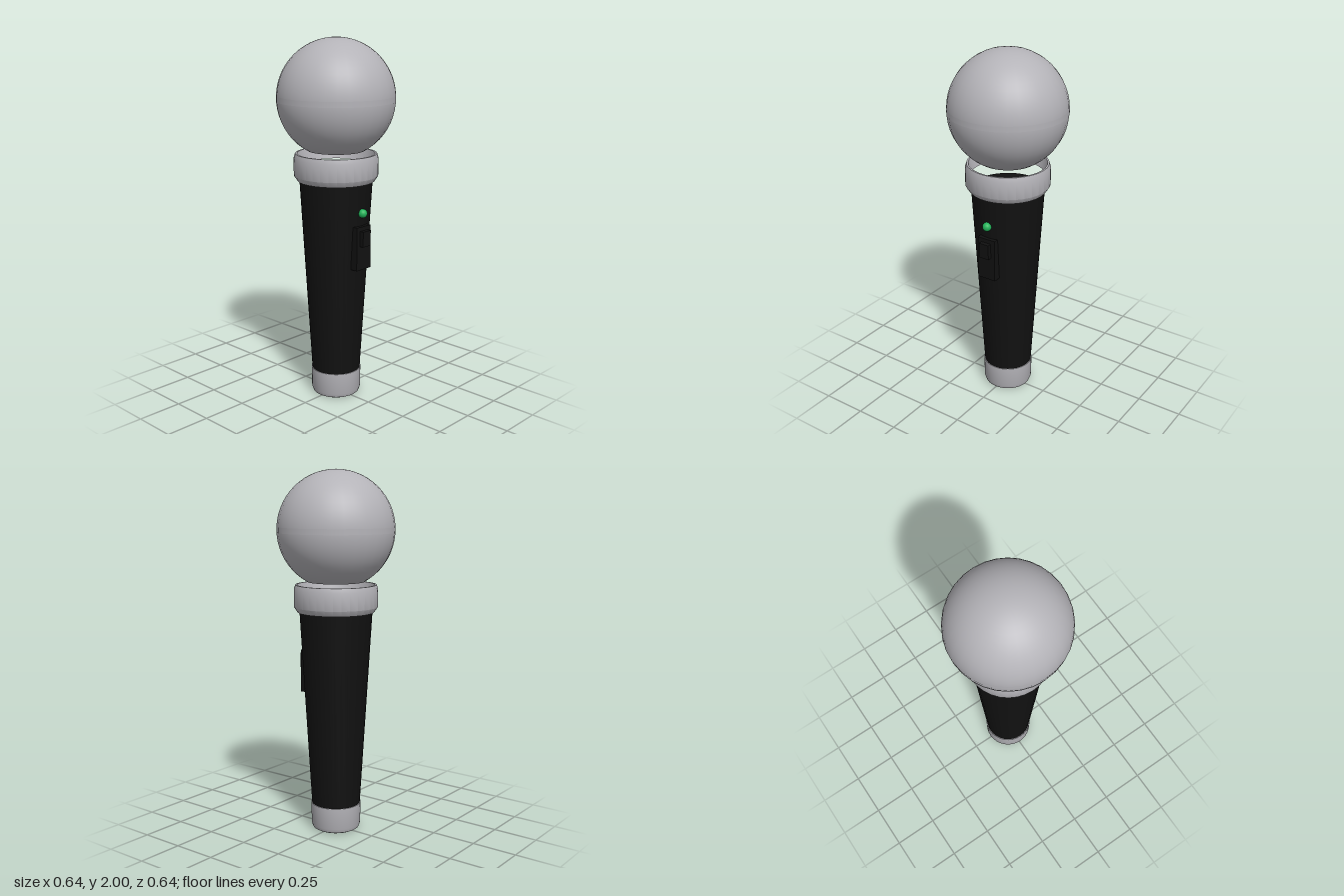
import * as THREE from 'three';
import { toCreasedNormals } from 'three/addons/utils/BufferGeometryUtils.js';

const SIDES = 32;

function material(name, color) {
  const m = new THREE.MeshStandardMaterial({ color });
  m.name = name;
  return m;
}

// Turned part from [radius, height] pairs, listed bottom to top
function turned(points) {
  const lathe = new THREE.LatheGeometry(points.map(([r, y]) => new THREE.Vector2(r, y)), SIDES);
  return toCreasedNormals(lathe, 0.6);
}

export function createModel() {
  const model = new THREE.Group();
  model.name = 'microphone';
  const silver = material('silver', 0xb4b3b8);
  const black = material('black', 0x111111);
  const green = material('green', 0x22b45a);

  function add(name, geometry, mat, x = 0, y = 0, z = 0) {
    const mesh = new THREE.Mesh(geometry, mat);
    mesh.name = name;
    mesh.position.set(x, y, z);
    model.add(mesh);
  }

  // Ball grille, cut flat underneath, with a thin band at its equator
  const ballRadius = 0.32, ballY = 1.68, cut = Math.acos(-0.28 / ballRadius);
  add('grille', new THREE.SphereGeometry(ballRadius, SIDES, 24, 0, Math.PI * 2, 0, cut), silver, 0, ballY);
  const base = new THREE.CircleGeometry(ballRadius * Math.sin(cut), SIDES).rotateX(Math.PI / 2);
  add('grilleBase', base, silver, 0, 1.4);
  add('grilleBand', new THREE.CylinderGeometry(0.3205, 0.3205, 0.03, SIDES, 1, true), silver, 0, ballY);

  // Collar with bevelled rims and a short inner lip
  add('collar', turned([
    [0.195, 1.235], [0.21, 1.235], [0.23, 1.265], [0.23, 1.36], [0.222, 1.385], [0.212, 1.385], [0.195, 1.32],
  ]), silver);

  // Tapered handle and end cap
  add('handle', turned([[0, 0.14], [0.135, 0.14], [0.2, 1.24], [0, 1.24]]), black);
  add('endCap', turned([
    [0, 0], [0.115, 0], [0.13, 0.008], [0.138, 0.03], [0.14, 0.15], [0, 0.15],
  ]), silver);

  // Switch plate, slider and indicator light on the front
  add('switchPlate', new THREE.BoxGeometry(0.11, 0.24, 0.06), black, 0, 0.89, 0.176);
  add('switchSlider', new THREE.BoxGeometry(0.06, 0.085, 0.04), black, 0, 0.945, 0.209);
  add('indicatorLight', new THREE.SphereGeometry(0.025, 16, 12), green, 0, 1.08, 0.197);

  return model;
}
